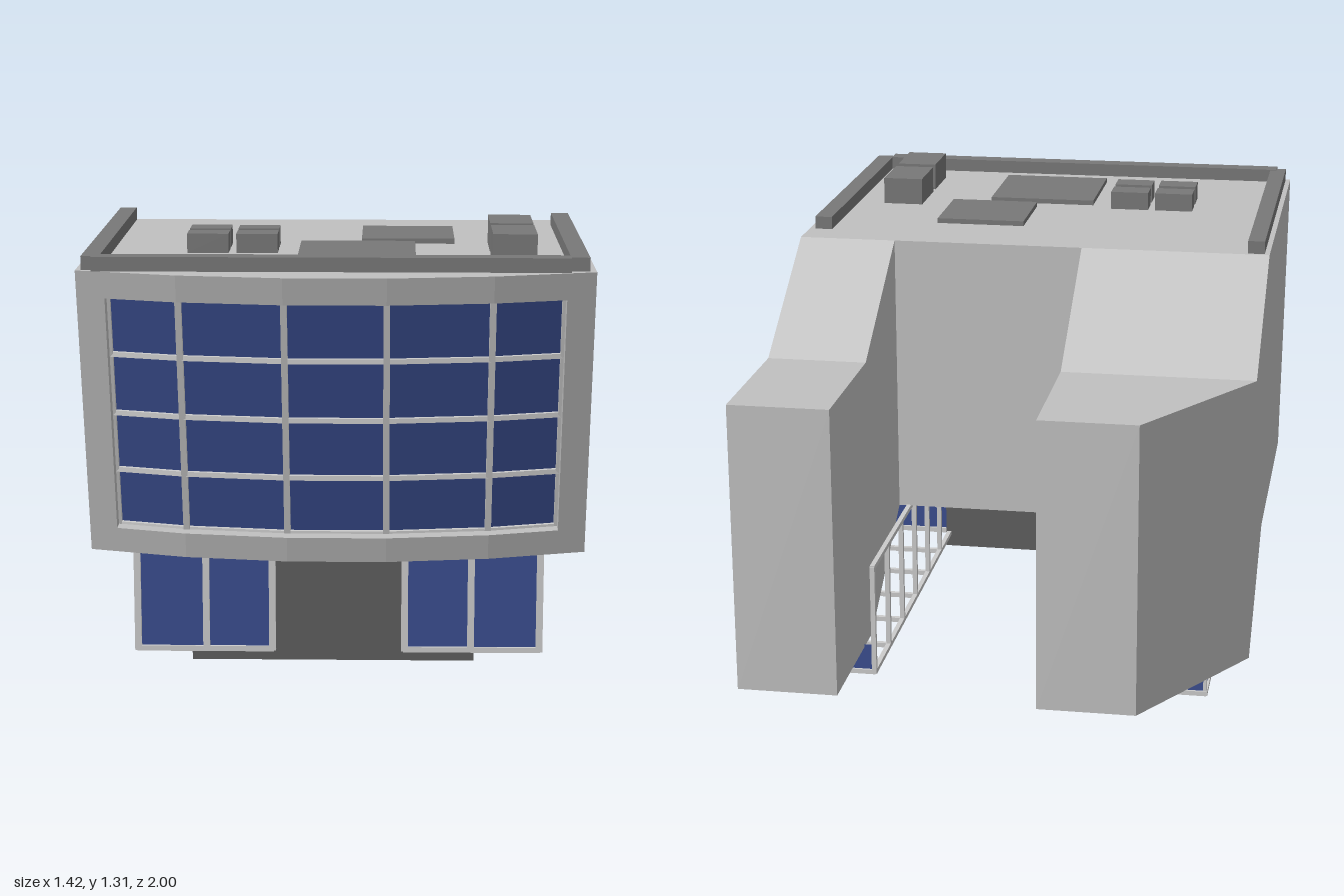
import * as THREE from 'three';

const mat = (name, color, side = THREE.FrontSide) => {
  const m = new THREE.MeshStandardMaterial({ color, side });
  m.name = name;
  return m;
};

// Flat-faced geometry from four-cornered faces
function quadGeometry(quads) {
  const pos = [];
  for (const [a, b, c, d] of quads) pos.push(...a, ...b, ...c, ...a, ...c, ...d);
  const g = new THREE.BufferGeometry();
  g.setAttribute('position', new THREE.Float32BufferAttribute(pos, 3));
  g.computeVertexNormals();
  return g;
}

// Loft of [z, y] loops along x, capped at both ends; one side may be left open
function loft(sections, openSide = -1) {
  const quads = [];
  const pts = sections.map(({ x, loop }) => loop.map(([z, y]) => [x, y, z]));
  const n = pts[0].length;
  for (let i = 0; i < pts.length - 1; i++)
    for (let k = 0; k < n; k++) {
      if (k === openSide) continue;
      const j = (k + 1) % n;
      quads.push([pts[i][k], pts[i + 1][k], pts[i + 1][j], pts[i][j]]);
    }
  const first = pts[0], last = pts[pts.length - 1];
  for (let k = 1; k < n - 1; k++) {
    quads.push([first[0], first[k], first[k + 1], first[k + 1]]);
    quads.push([last[0], last[k + 1], last[k], last[k]]);
  }
  return quadGeometry(quads);
}

// Curved, leaning front: z for a given x, y and depth behind the surface
const TOP = 1.23, BASE = 0.38, BACK = -0.14;
const curve = [[0, 1], [0.14, 1], [0.43, 0.96], [0.71, 0.88]];
function frontZ(x, y, depth = 0) {
  const ax = Math.abs(x);
  let i = 0;
  while (i < curve.length - 2 && ax > curve[i + 1][0]) i++;
  const [x0, z0] = curve[i], [x1, z1] = curve[i + 1];
  return z0 + ((z1 - z0) * (ax - x0)) / (x1 - x0) - (TOP - y) * 0.27 - depth;
}

export function createModel() {
  const root = new THREE.Group();
  root.name = 'building';
  const wall = mat('wall grey', 0xc0c0c0);
  const roof = mat('roof grey', 0x787878);
  const dark = mat('entrance grey', 0x5e5e5e, THREE.DoubleSide);
  const glass = mat('blue glass', 0x3a4d8f, THREE.DoubleSide);
  const frame = mat('frame grey', 0xcccccc);

  const add = (name, geo, material, parent = root) => {
    const m = new THREE.Mesh(geo, material);
    m.name = name;
    parent.add(m);
    return m;
  };
  const box = (name, x0, x1, y0, y1, z0, z1, material, parent) =>
    add(name, new THREE.BoxGeometry(x1 - x0, y1 - y0, z1 - z0), material, parent)
      .position.set((x0 + x1) / 2, (y0 + y1) / 2, (z0 + z1) / 2);
  const bar = (name, a, b, t, parent) => {
    const p = new THREE.Vector3(...a), q = new THREE.Vector3(...b);
    const m = add(name, new THREE.BoxGeometry(t, t, p.distanceTo(q) + t * 0.5), frame, parent);
    m.position.copy(p).lerp(q, 0.5);
    m.lookAt(q);
  };

  // Main block, open at the front where the facade goes
  const xs = [-0.71, -0.63, -0.43, -0.14, 0.14, 0.43, 0.63, 0.71];
  add('mainBlock', loft(xs.map((x) => ({
    x, loop: [[frontZ(x, TOP), TOP], [BACK, TOP], [BACK, BASE], [frontZ(x, BASE), BASE]],
  })), 3), wall);

  // Rear wings; the right one has a cut-off outer corner
  const wing = (end) => [[-0.555, 0.97], [end, 0.97], [end, 0.12], [-0.555, 0.12], [BACK, BASE], [BACK, TOP]];
  add('leftWing', loft([{ x: 0.42, loop: wing(-1) }, { x: 0.71, loop: wing(-1) }]), wall);
  add('rightWing', loft([
    { x: -0.71, loop: wing(-0.556) }, { x: -0.43, loop: wing(-1) }, { x: -0.15, loop: wing(-1) },
  ]), wall);

  // Facade surround with its inner reveals, and the recessed glass
  const rows = [0.455, 0.628, 0.803, 0.98, 1.153];
  const y0 = rows[0], y1 = rows[4], depth = 0.065;
  const P = (x, y, d = 0) => [x, y, frontZ(x, y, d)];
  const patch = (xa, xb, ya, yb, d) => [P(xa, ya, d), P(xb, ya, d), P(xb, yb, d), P(xa, yb, d)];
  const surround = [], panes = [];
  for (let i = 0; i < xs.length - 1; i++) {
    const a = xs[i], b = xs[i + 1];
    surround.push(patch(a, b, BASE, y0), patch(a, b, y1, TOP));
    if (i === 0 || i === xs.length - 2) {
      surround.push(patch(a, b, y0, y1));
      continue;
    }
    panes.push(patch(a, b, y0, y1, depth));
    surround.push([P(a, y0), P(b, y0), P(b, y0, depth), P(a, y0, depth)]);
    surround.push([P(a, y1, depth), P(b, y1, depth), P(b, y1), P(a, y1)]);
  }
  surround.push([P(-0.63, y0), P(-0.63, y0, depth), P(-0.63, y1, depth), P(-0.63, y1)]);
  surround.push([P(0.63, y0, depth), P(0.63, y0), P(0.63, y1), P(0.63, y1, depth)]);
  add('facadeSurround', quadGeometry(surround), wall);
  add('facadeGlass', quadGeometry(panes), glass);

  // Facade mullions
  const mullions = new THREE.Group();
  mullions.name = 'facadeMullions';
  root.add(mullions);
  const cols = xs.slice(1, -1);
  cols.forEach((x, i) => {
    bar('verticalMullion', P(x, y0, 0.055), P(x, y1, 0.055), 0.018, mullions);
    if (i < cols.length - 1)
      for (const y of rows) bar('horizontalMullion', P(x, y, 0.055), P(cols[i + 1], y, 0.055), 0.014, mullions);
  });

  // Ground floor: glazed strips on both sides and a dark entrance wall
  const lo = 0.045, hi = 0.375, zs = [0, 1, 2, 3, 4, 5, 6].map((i) => 0.53 - i * 0.198);
  const zEnd = zs[6], xIn = 0.195, xMid = 0.39, xOut = 0.592;
  for (const s of [1, -1]) {
    const g = new THREE.Group();
    g.name = s > 0 ? 'leftGroundWindows' : 'rightGroundWindows';
    root.add(g);
    add('groundGlass', quadGeometry([
      [[s * xIn, lo, 0.53], [s * xOut, lo, 0.53], [s * xOut, hi, 0.53], [s * xIn, hi, 0.53]],
      [[s * xOut, lo, 0.53], [s * xOut, lo, zEnd], [s * xOut, hi, zEnd], [s * xOut, hi, 0.53]],
      [[s * xOut, lo, zEnd], [s * xMid, lo, zEnd], [s * xMid, 0.13, zEnd], [s * xOut, 0.13, zEnd]],
    ]), glass, g);
    for (const x of [xIn, xMid, xOut]) bar('frontPost', [s * x, lo, 0.53], [s * x, hi, 0.53], 0.02, g);
    for (const y of [lo, hi]) {
      bar('frontRail', [s * xIn, y, 0.53], [s * xOut, y, 0.53], 0.016, g);
      bar('innerRail', [s * xMid, y, 0.53], [s * xMid, y, zEnd], 0.014, g);
    }
    bar('outerRail', [s * xOut, lo, 0.53], [s * xOut, lo, zEnd], 0.014, g);
    for (const z of zs) {
      bar('innerPost', [s * xMid, lo, z], [s * xMid, hi, z], 0.014, g);
      bar('outerPost', [s * xOut, lo, z], [s * xOut, hi, z], 0.01, g);
      bar('floorBar', [s * xMid, lo, z], [s * xOut, lo, z], 0.014, g);
    }
  }
  add('entranceWall', quadGeometry([
    [[-0.435, 0, 0.5], [0.4, 0, 0.5], [0.4, BASE, 0.5], [-0.435, BASE, 0.5]],
  ]), dark);

  // Roof edge bars
  box('rightParapet', -0.695, -0.645, TOP, 1.268, -0.13, 0.87, roof);
  box('leftParapet', 0.64, 0.692, TOP, 1.268, -0.03, 0.87, roof);
  box('frontParapet', -0.665, 0.64, TOP, 1.27, 0.84, 0.895, roof);

  // Roof hatches and ventilation units
  box('largeHatch', -0.11, 0.22, TOP, 1.245, 0.41, 0.74, roof);
  box('smallHatch', 0.065, 0.335, TOP, 1.245, 0.1, 0.365, roof);
  for (const x of [-0.43, -0.29])
    for (const z of [0.372, 0.48]) box('smallVent', x, x + 0.118, TOP, 1.285, z, z + 0.076, roof);
  for (const z of [0.337, 0.555]) box('largeVent', 0.433, 0.556, TOP, 1.312, z, z + 0.18, roof);

  return root;
}
